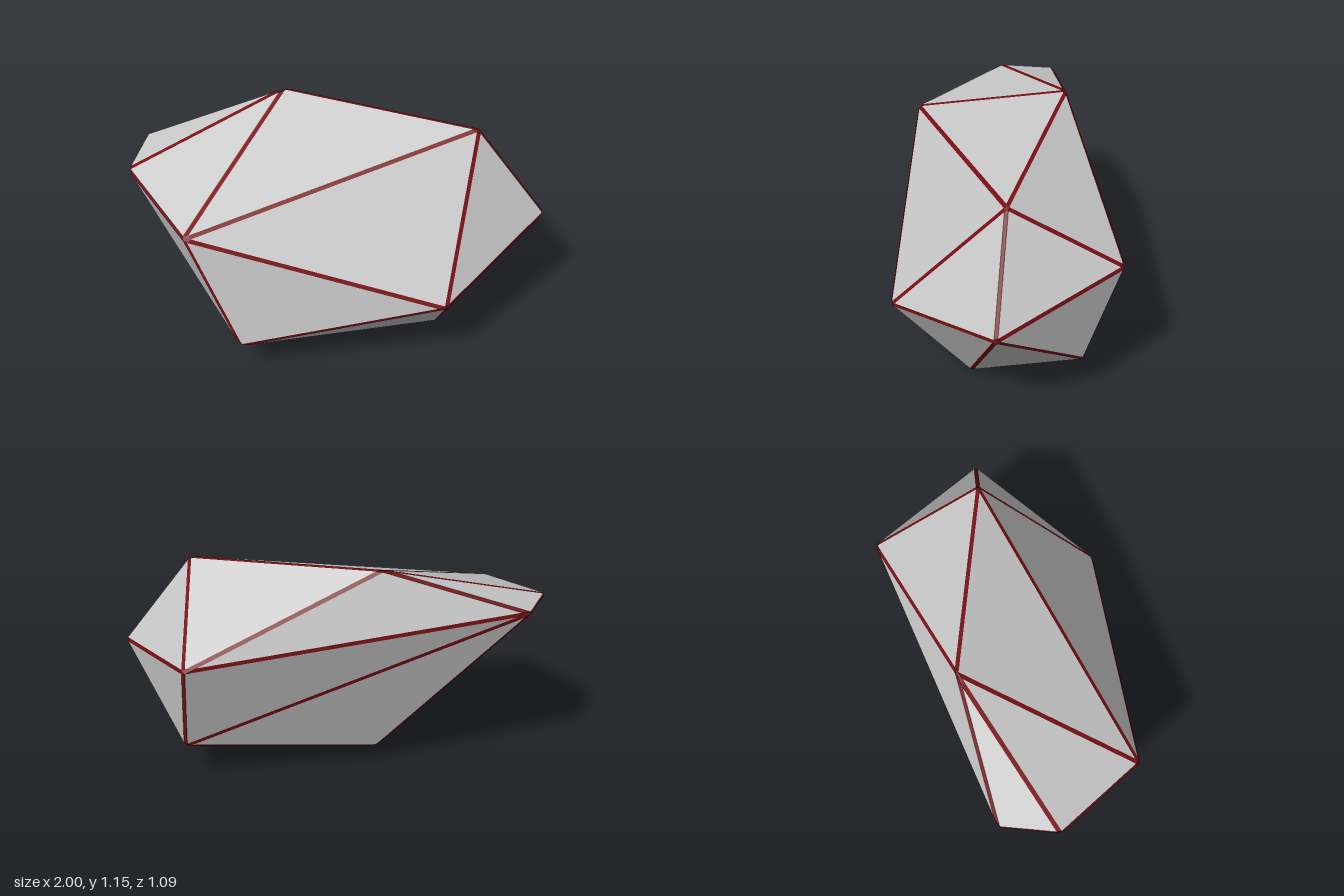
import * as THREE from 'three';

const BEVEL = 0.011;

// Corners of an irregular twenty-sided stone: two poles and two rings of five.
const crown = [0.67, 1.06, 0.05];
const upper = [
  [-0.83, 0.80, 0.19], [0.36, 0.39, 0.54], [1.0, 0.58, 0.17],
  [0.75, 0.72, -0.49], [-0.18, 1.15, -0.44],
];
const lower = [
  [-0.61, 0.195, 0.31], [0.45, 0.0, 0.17], [0.75, 0.22, -0.31],
  [-0.86, 0.935, -0.55], [-1.0, 0.91, -0.30],
];
const base = [-0.20, 0.105, -0.26];

// Flat-sided mesh from a list of convex polygons
function polygonMesh(name, polygons, color) {
  const points = [];
  for (const poly of polygons) {
    for (let i = 1; i < poly.length - 1; i++) points.push(poly[0], poly[i], poly[i + 1]);
  }
  const geometry = new THREE.BufferGeometry().setFromPoints(points);
  geometry.computeVertexNormals();
  const mesh = new THREE.Mesh(geometry, new THREE.MeshStandardMaterial({ color, flatShading: true }));
  mesh.name = name;
  return mesh;
}

export function createModel() {
  // Grow the corners slightly so the bevelled stone keeps its full size.
  const centre = new THREE.Vector3(0, 0.575, 0);
  const corners = [crown, ...upper, ...lower, base].map((c) =>
    new THREE.Vector3(...c).sub(centre).multiplyScalar(1.01).add(centre));

  // Triangles: cap, zigzag band, base
  const faces = [];
  for (let i = 0; i < 5; i++) {
    const j = (i + 1) % 5;
    const u = 1 + i, un = 1 + j, l = 6 + i, ln = 6 + j;
    faces.push([0, u, un], [u, l, un], [un, l, ln], [11, ln, l]);
  }

  // Corner p of a facet, moved in from both of its edges by the bevel
  const inset = (p, a, b) => {
    const u = corners[a].clone().sub(corners[p]).normalize();
    const v = corners[b].clone().sub(corners[p]).normalize();
    const reach = BEVEL / u.clone().cross(v).length();
    return u.add(v).multiplyScalar(reach).add(corners[p]);
  };

  // Inset corners, keyed by the directed edge that starts at them
  const facets = [];
  const edges = new Map();
  for (const f of faces) {
    const pts = f.map((p, k) => inset(p, f[(k + 1) % 3], f[(k + 2) % 3]));
    facets.push(pts);
    f.forEach((p, k) => edges.set(p + '-' + f[(k + 1) % 3], {
      from: p, to: f[(k + 1) % 3], third: f[(k + 2) % 3],
      start: pts[k], end: pts[(k + 1) % 3],
    }));
  }

  // Red bevel strip along every edge
  const strips = [];
  for (const e of edges.values()) {
    if (e.from > e.to) continue;
    const o = edges.get(e.to + '-' + e.from);
    strips.push([e.start, o.end, o.start, e.end]);
  }

  // Small five-sided cap on every corner
  const caps = corners.map((_, p) => {
    const first = [...edges.values()].find((e) => e.from === p);
    const ring = [];
    let e = first;
    do {
      ring.push(e.start);
      e = edges.get(p + '-' + e.third);
    } while (e !== first);
    return ring;
  });

  const group = new THREE.Group();
  group.name = 'facetedStone';
  group.add(
    polygonMesh('facets', facets, 0xcccccc),
    polygonMesh('edgeBevels', [...strips, ...caps], 0x7a1014),
  );
  return group;
}
